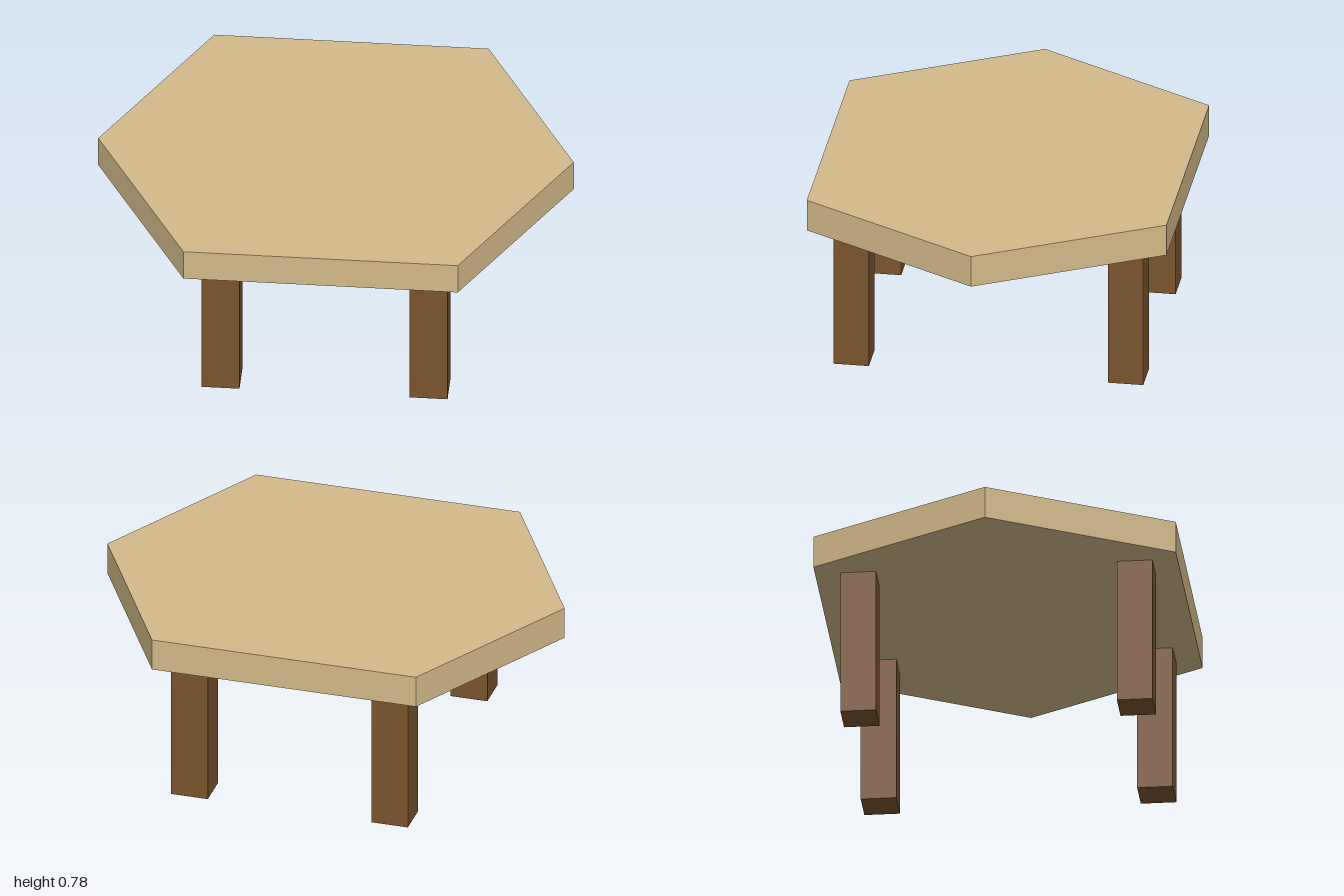
import * as THREE from 'three';

export function createModel() {
  const model = new THREE.Group();
  model.name = 'table';

  const paleWood = new THREE.MeshStandardMaterial({ color: 0xd4ba8a });
  paleWood.name = 'pale wood';
  const darkWood = new THREE.MeshStandardMaterial({ color: 0x7b542d });
  darkWood.name = 'dark wood';

  const legHeight = 0.64;
  const topThickness = 0.14;

  // Hexagonal slab, drawn flat and laid down on the legs
  const outline = new THREE.Shape([
    [1, 0], [0.577, 0.763], [-0.577, 0.763],
    [-1, 0], [-0.577, -0.763], [0.577, -0.763],
  ].map(([x, y]) => new THREE.Vector2(x, y)));
  const topGeometry = new THREE.ExtrudeGeometry(outline, { depth: topThickness, bevelEnabled: false });
  topGeometry.rotateX(-Math.PI / 2);
  const top = new THREE.Mesh(topGeometry, paleWood);
  top.name = 'tableTop';
  top.position.y = legHeight;
  model.add(top);

  // Four square legs, set very slightly off centre in x
  const legGeometry = new THREE.BoxGeometry(0.16, legHeight, 0.15);
  for (const [side, x] of [['Left', 0.445], ['Right', -0.43]]) {
    for (const [end, z] of [['front', 0.583], ['back', -0.581]]) {
      const leg = new THREE.Mesh(legGeometry, darkWood);
      leg.name = `${end}${side}Leg`;
      leg.position.set(x, legHeight / 2, z);
      model.add(leg);
    }
  }

  return model;
}
